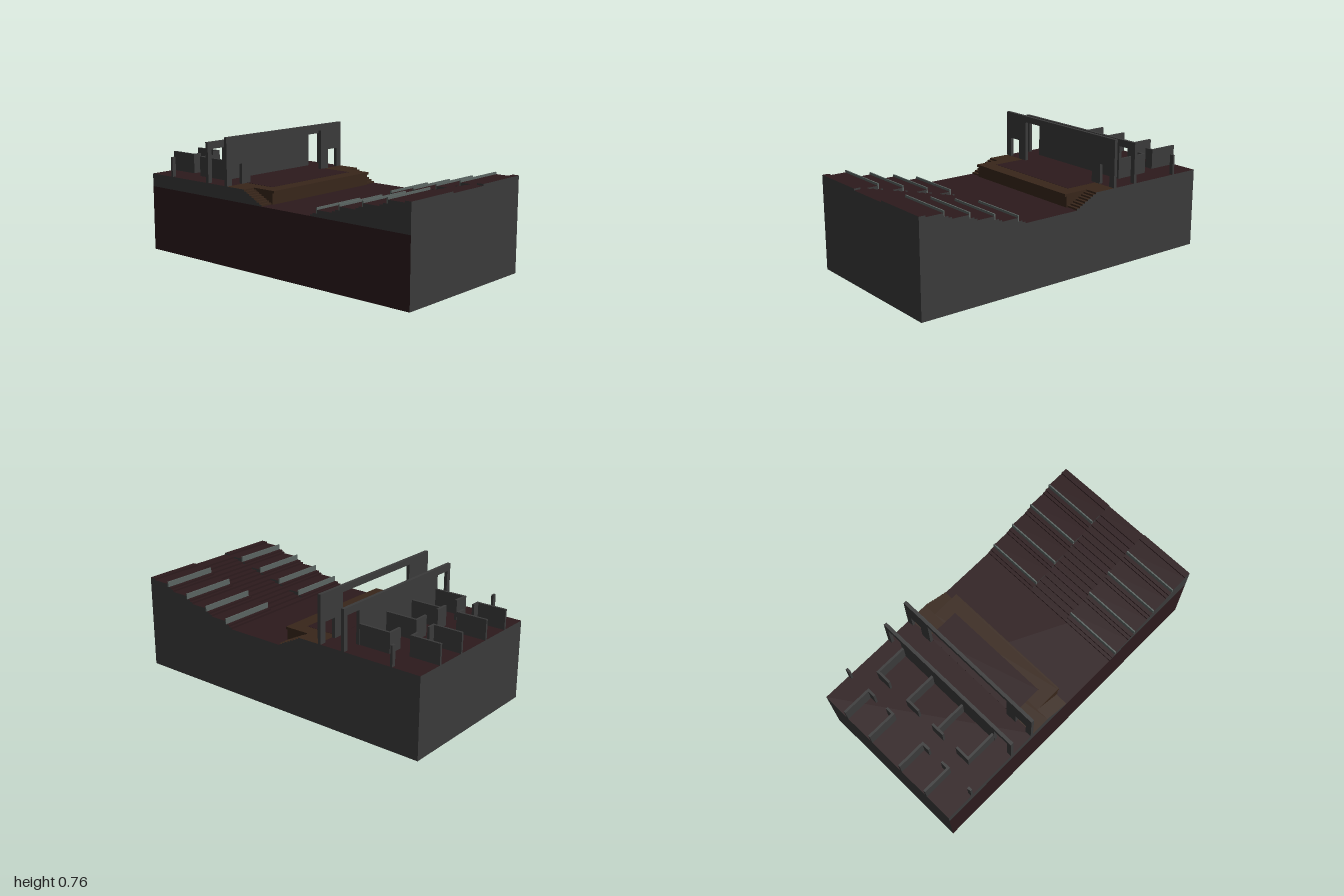
import * as THREE from 'three';

export function createModel() {
  const model = new THREE.Group();
  const mat = (color) => new THREE.MeshStandardMaterial({ color });
  const concrete = mat(0x3a3a3a), carpet = mat(0x2c1a1c), wood = mat(0x38261a), metal = mat(0x5a6461);

  // Box from its extents; material may be an array of +x,-x,+y,-y,+z,-z
  const block = (name, x, y, z, material, parent = model) => {
    const g = new THREE.BoxGeometry(x[1] - x[0], y[1] - y[0], z[1] - z[0]);
    const m = new THREE.Mesh(g, material);
    m.name = name;
    m.position.set((x[0] + x[1]) / 2, (y[0] + y[1]) / 2, (z[0] + z[1]) / 2);
    parent.add(m);
    return m;
  };
  const group = (name) => {
    const g = new THREE.Group();
    g.name = name;
    model.add(g);
    return g;
  };
  const span = (s, a, b) => (s > 0 ? [a, b] : [-b, -a]);
  const tread = [concrete, concrete, carpet, carpet, concrete, carpet];
  const FLOOR = 0.4, STAGE = 0.48;

  // Solid foundation with the stalls floor on top
  block('foundation', [-0.5, 0.5], [0, FLOOR], [-1, 1],
    [concrete, carpet, carpet, carpet, concrete, concrete]);

  // Seating tiers: two low ledges, then a terrace with a rail on its edge
  const tiers = group('seatingTiers');
  const rails = group('tierRails');
  for (const s of [1, -1]) {
    const x = span(s, 0.14, 0.5);
    for (let k = 0; k < 4; k++) {
      const z = 0.32 + k * 0.16, y = FLOOR + k * 0.04;
      block('lowerLedge', x, [FLOOR, y + 0.01], [z, z + 0.02], tread, tiers);
      block('upperLedge', x, [FLOOR, y + 0.02], [z + 0.02, z + 0.05], tread, tiers);
      block('terrace', x, [FLOOR, y + 0.04], [z + 0.05, z + 0.16], tread, tiers);
      block('rail', x, [y + 0.02, y + 0.053], [z + 0.044, z + 0.052], metal, rails);
    }
    block('topLedge', x, [FLOOR, 0.57], [0.96, 1], tread, tiers);
  }

  // Central aisle stair
  const aisle = group('aisleStairs');
  for (let i = 0; i < 16; i++) {
    const z = 0.32 + i * 0.04;
    block('aisleStep', [-0.14, 0.14], [FLOOR, FLOOR + (i + 1) * 0.01],
      [z, i === 15 ? 1 : z + 0.04], tread, aisle);
  }

  // Stage body, timber apron, projecting lip and inset acting floor
  const stageSides = [concrete, concrete, wood, carpet, wood, concrete];
  block('stageFront', [-0.42, 0.42], [FLOOR, STAGE], [-0.21, -0.04], wood);
  block('stageMiddle', [-0.5, 0.5], [FLOOR, STAGE], [-0.33, -0.21], stageSides);
  block('backstageFloor', [-0.5, 0.5], [FLOOR, STAGE], [-1, -0.33],
    [concrete, concrete, carpet, carpet, concrete, concrete]);
  block('stageLip', [-0.42, 0.42], [STAGE - 0.015, STAGE], [-0.04, -0.03], wood);
  block('actingFloor', [-0.34, 0.34], [STAGE - 0.01, STAGE + 0.001], [-0.33, -0.12], carpet);

  // Stairs at both ends of the stage
  const stairs = group('stageStairs');
  const stairMats = [concrete, concrete, wood, wood, wood, wood];
  for (const s of [1, -1]) for (let i = 0; i < 8; i++) {
    const z = -0.05 - i * 0.02;
    block('stageStep', span(s, 0.42, 0.5), [FLOOR, FLOOR + (i + 1) * 0.01],
      [z - 0.02, z], stairMats, stairs);
  }

  // Wall with rectangular openings: [x0, x1, top], all starting at the floor
  const wall = (name, top, z, openings) => {
    const shape = new THREE.Shape();
    shape.moveTo(-0.5, STAGE);
    for (const [a, b, h] of openings) {
      shape.lineTo(a, STAGE);
      shape.lineTo(a, h);
      shape.lineTo(b, h);
      shape.lineTo(b, STAGE);
    }
    shape.lineTo(0.5, STAGE);
    shape.lineTo(0.5, top);
    shape.lineTo(-0.5, top);
    const m = new THREE.Mesh(
      new THREE.ExtrudeGeometry(shape, { depth: 0.02, bevelEnabled: false }), concrete);
    m.name = name;
    m.position.z = z;
    model.add(m);
  };
  wall('prosceniumWall', 0.765, -0.35, [[-0.46, -0.38, 0.6], [-0.31, 0.31, 0.727], [0.38, 0.46, 0.6]]);
  wall('stageBackWall', 0.722, -0.51, [[-0.47, -0.37, 0.68], [0.37, 0.47, 0.68]]);

  // Dressing room partitions with short returns beside the doorways
  const rooms = group('dressingRooms');
  const H = [STAGE, 0.6], t = 0.007;
  const rearWalls = [[0.12, 0.113, 0.17], [0.32, 0.27, 0.327]];
  for (const s of [1, -1]) {
    for (const [x, a, b] of rearWalls) {
      block('rearPartition', [s * x - t, s * x + t], H, [-1, -0.825], concrete, rooms);
      block('rearReturn', span(s, a, b), H, [-0.825, -0.811], concrete, rooms);
    }
    block('rearEndReturn', span(s, 0.475, 0.5), H, [-0.825, -0.811], concrete, rooms);
  }
  const frontWalls = [[-0.36, -0.367, -0.27], [-0.12, -0.165, -0.08], [0.12, 0.03, 0.127], [0.36, 0.27, 0.367]];
  for (const [x, a, b] of frontWalls) {
    block('frontPartition', [x - t, x + t], H, [-0.697, -0.51], concrete, rooms);
    block('frontReturn', [a, b], H, [-0.711, -0.697], concrete, rooms);
  }
  return model;
}
